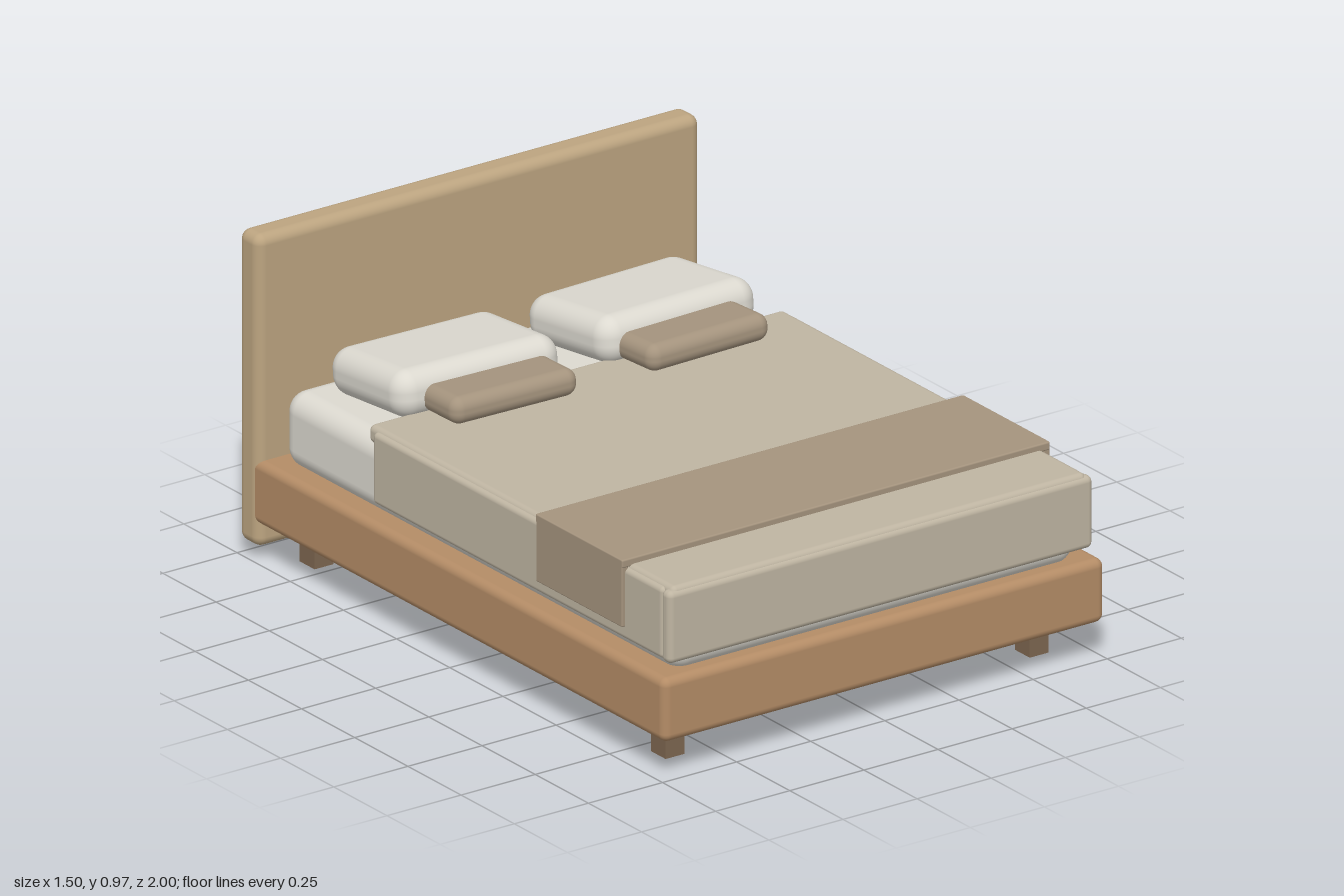
import * as THREE from 'three';
import { RoundedBoxGeometry } from 'three/addons/geometries/RoundedBoxGeometry.js';

const material = (color) => new THREE.MeshStandardMaterial({ color });

export function createModel() {
  const bed = new THREE.Group();
  bed.name = 'bed';

  const mats = {
    frame: material(0xb48c66),
    headboard: material(0xbca480),
    leg: material(0x7d6650),
    linen: material(0xdcd9d0),
    duvet: material(0xbfb5a2),
    blanket: material(0xa5947e),
  };

  // Box given by its [min, max] on each axis; radius 0 keeps the edges sharp
  function block(name, mat, [x0, x1], [y0, y1], [z0, z1], radius = 0, segments = 4) {
    const size = [x1 - x0, y1 - y0, z1 - z0];
    const geometry = radius
      ? new RoundedBoxGeometry(...size, segments, radius)
      : new THREE.BoxGeometry(...size);
    const mesh = new THREE.Mesh(geometry, mats[mat]);
    mesh.name = name;
    mesh.position.set((x0 + x1) / 2, (y0 + y1) / 2, (z0 + z1) / 2);
    bed.add(mesh);
    return mesh;
  }

  // Frame and headboard
  block('frame', 'frame', [-0.745, 0.745], [0.11, 0.3], [-0.95, 1], 0.025);
  block('headboard', 'headboard', [-0.748, 0.748], [0.04, 0.967], [-1, -0.905], 0.03);

  // Mattress
  block('mattress', 'linen', [-0.685, 0.685], [0.285, 0.51], [-0.885, 0.965], 0.06, 6);

  // Duvet: top slab and front drop
  block('duvetTop', 'duvet', [-0.7, 0.7], [0.503, 0.557], [-0.455, 0.978], 0.018);
  block('duvetFront', 'duvet', [-0.716, 0.716], [0.333, 0.548], [0.942, 0.985], 0.018);

  // Blanket across the foot of the bed
  block('blanketTop', 'blanket', [-0.722, 0.722], [0.55, 0.575], [0.362, 0.772], 0.005, 2);

  for (const side of [-1, 1]) {
    const span = (a, b) => (side > 0 ? [a, b] : [-b, -a]);
    const label = side > 0 ? 'left' : 'right';

    // Legs
    block(label + 'FrontLeg', 'leg', span(0.582, 0.646), [0, 0.12], [0.8, 0.87]);
    block(label + 'BackLeg', 'leg', span(0.582, 0.646), [0, 0.12], [-0.85, -0.78]);

    // Side drops of duvet and blanket
    block(label + 'DuvetSide', 'duvet', span(0.675, 0.711), [0.335, 0.548], [-0.42, 0.945], 0.015);
    block(label + 'BlanketSide', 'blanket', span(0.7, 0.722), [0.375, 0.575], [0.365, 0.77], 0.004, 2);

    // Pillow, leaning a little and turned outward
    const pillow = block(label + 'Pillow', 'linen', span(0.06, 0.603), [0.522, 0.662], [-0.795, -0.415], 0.06, 6);
    pillow.rotation.set(-0.11, side * 0.04, 0);

    // Small cushion in front of the pillow
    const cushion = block(label + 'Cushion', 'blanket', span(0.117, 0.533), [0.56, 0.64], [-0.45, -0.268], 0.035, 5);
    cushion.rotation.set(-0.04, side * 0.03, 0);
  }

  return bed;
}
